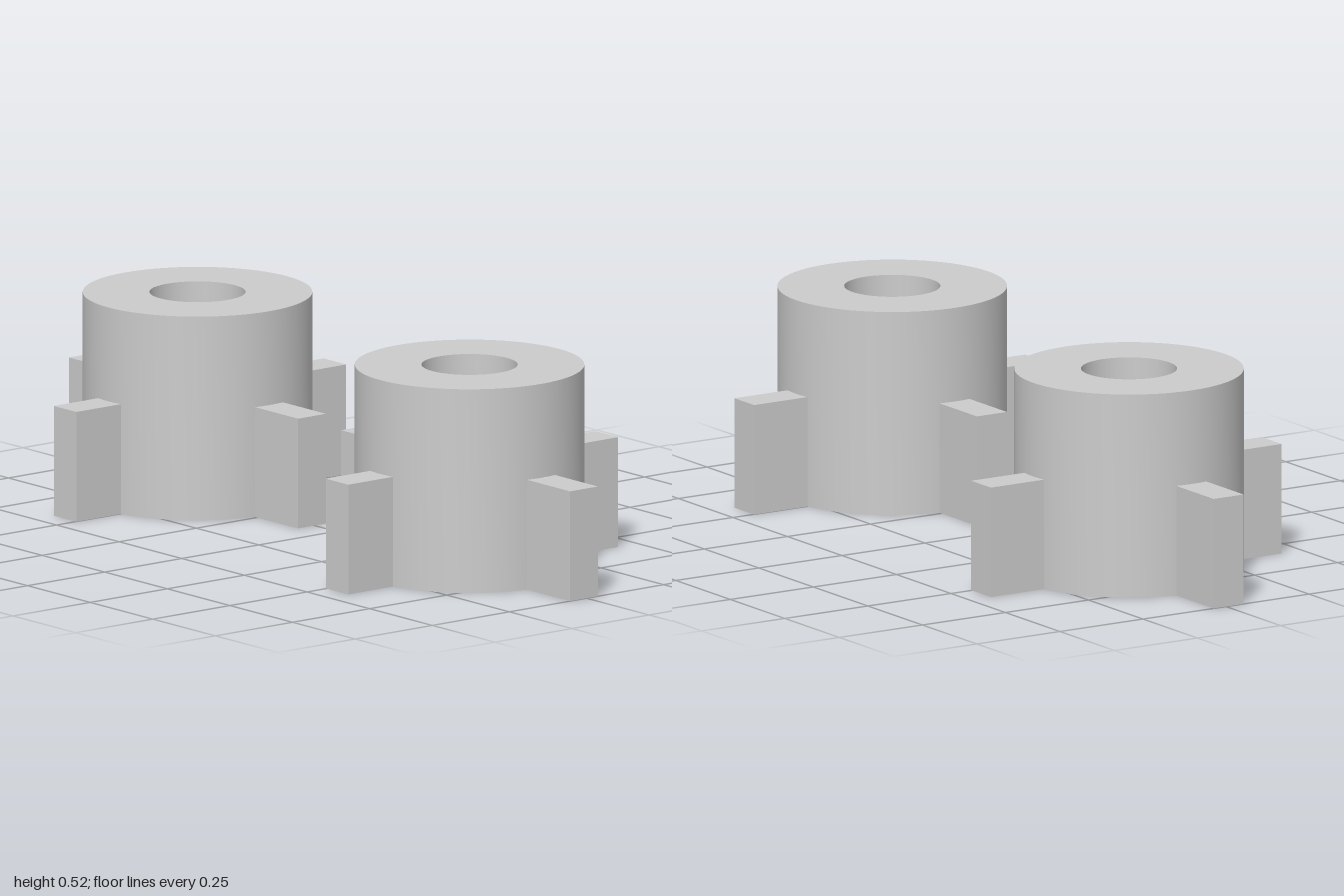
import * as THREE from 'three';
import { toCreasedNormals } from 'three/addons/utils/BufferGeometryUtils.js';

const RADIUS = 0.289, HEIGHT = 0.525, BORE = 0.121, FLOOR = 0.12;
const FIN_HEIGHT = 0.283, FIN_WIDTH = 0.09;
const AXIS_X = -0.008; // the barrel sits slightly off the middle of the fins

export function createModel() {
  const model = new THREE.Group();
  const material = new THREE.MeshStandardMaterial({ color: 0xcccccc });

  // Barrel with a blind bore from the top
  const profile = [
    [0, 0], [RADIUS, 0], [RADIUS, HEIGHT], [BORE, HEIGHT], [BORE, FLOOR], [0, FLOOR],
  ].map(([r, y]) => new THREE.Vector2(r, y));
  const barrelGeometry = toCreasedNormals(new THREE.LatheGeometry(profile, 72), 0.6);

  // Box fin spanning the given x and z ranges, standing on the ground
  function addFin(parent, name, x0, x1, z0, z1) {
    const fin = new THREE.Mesh(new THREE.BoxGeometry(x1 - x0, FIN_HEIGHT, z1 - z0), material);
    fin.position.set((x0 + x1) / 2, FIN_HEIGHT / 2, (z0 + z1) / 2);
    fin.name = name;
    parent.add(fin);
  }

  function addHub(name, z) {
    const hub = new THREE.Group();
    hub.name = name;
    hub.position.z = z;

    const barrel = new THREE.Mesh(barrelGeometry, material);
    barrel.name = 'barrel';
    barrel.position.x = AXIS_X;
    hub.add(barrel);

    // Four fins, rooted just inside the barrel wall
    const w = FIN_WIDTH / 2, root = RADIUS - 0.02, reach = 0.4375, reachZ = 0.457;
    addFin(hub, 'leftFin', AXIS_X + root, reach, -w, w);
    addFin(hub, 'rightFin', -reach, AXIS_X - root, -w, w);
    addFin(hub, 'frontFin', AXIS_X - w, AXIS_X + w, root, reachZ);
    addFin(hub, 'backFin', AXIS_X - w, AXIS_X + w, -reachZ, -root);
    model.add(hub);
  }

  addHub('frontHub', 0.543);
  addHub('backHub', -0.543);
  return model;
}
